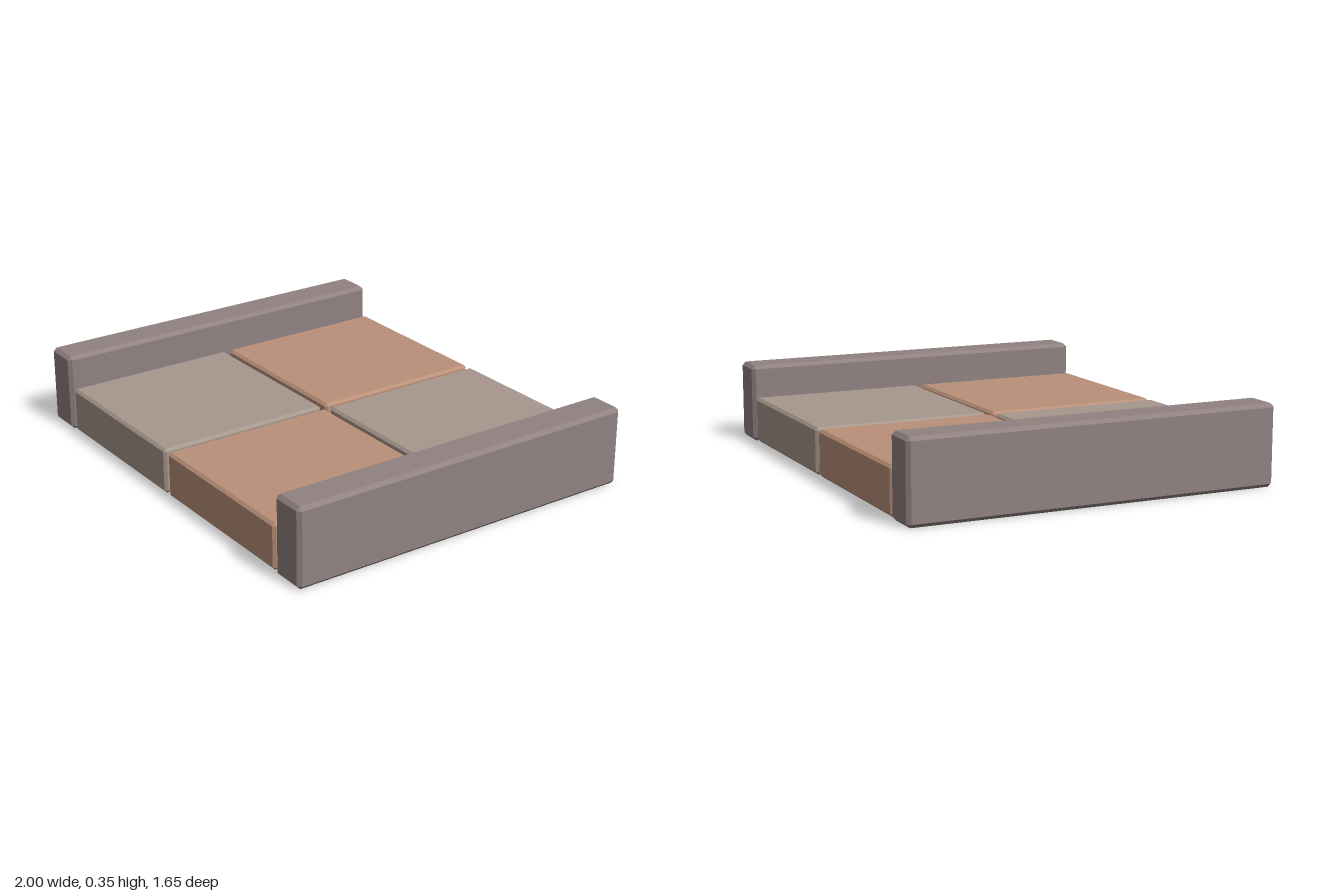
import * as THREE from 'three';
import { ConvexGeometry } from 'three/addons/geometries/ConvexGeometry.js';

// Box with every edge chamfered: each corner gives one point per adjoining face
function chamferBox(w, h, d, c) {
  const points = [];
  const [x, y, z] = [w / 2, h / 2, d / 2];
  for (const sx of [-1, 1]) for (const sy of [-1, 1]) for (const sz of [-1, 1]) {
    points.push(
      new THREE.Vector3(sx * x, sy * (y - c), sz * (z - c)),
      new THREE.Vector3(sx * (x - c), sy * y, sz * (z - c)),
      new THREE.Vector3(sx * (x - c), sy * (y - c), sz * z)
    );
  }
  return new ConvexGeometry(points);
}

export function createModel() {
  const group = new THREE.Group();
  const material = (color) => new THREE.MeshStandardMaterial({ color, flatShading: true });
  const stone = material(0x908281);
  const taupe = material(0xa7978c);
  const clay = material(0xba9079);

  function add(name, geometry, mat, x, y, z) {
    const mesh = new THREE.Mesh(geometry, mat);
    mesh.name = name;
    mesh.position.set(x, y, z);
    group.add(mesh);
  }

  // Four floor slabs in a checkered pattern, with narrow joints
  const slab = chamferBox(0.805, 0.206, 0.805, 0.012);
  for (const sx of [-1, 1]) for (const sz of [-1, 1]) {
    const name = (sz > 0 ? 'front' : 'back') + (sx > 0 ? 'Left' : 'Right') + 'Slab';
    add(name, slab, sx === sz ? clay : taupe, sx * 0.415, 0.107, sz * 0.415);
  }

  // Raised curbs along both sides
  const curb = chamferBox(0.165, 0.355, 1.65, 0.016);
  for (const s of [-1, 1]) add(s > 0 ? 'leftCurb' : 'rightCurb', curb, stone, s * 0.9175, 0.1775, 0);

  return group;
}
